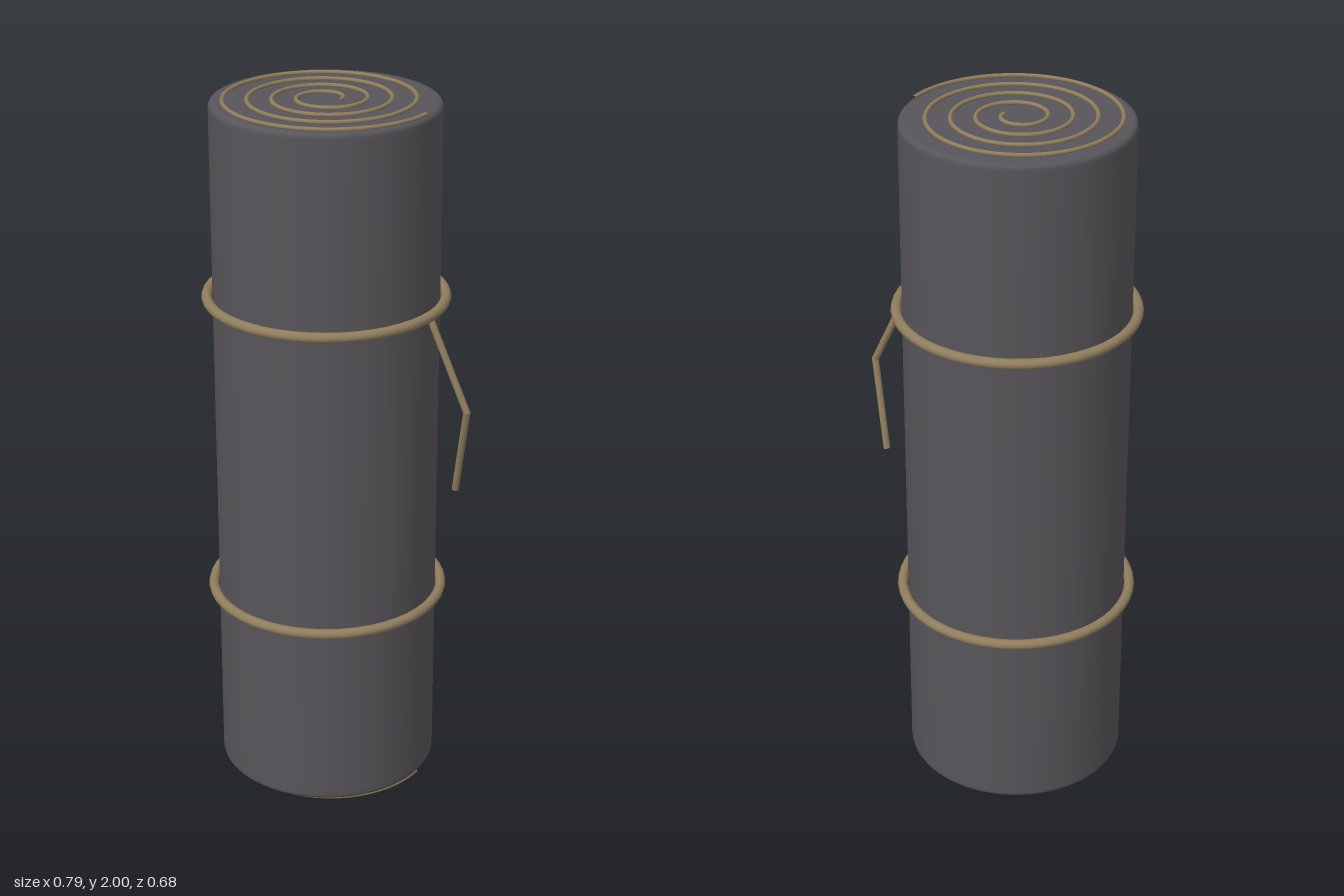
import * as THREE from 'three';

export function createModel() {
  const model = new THREE.Group();
  const fabric = new THREE.MeshStandardMaterial({ color: 0x58555a });
  fabric.name = 'dark grey fabric';
  const cord = new THREE.MeshStandardMaterial({ color: 0x8f7d5e });
  cord.name = 'tan cord';

  const CX = -0.053, R = 0.311, BOTTOM = 0.01, TOP = 1.99, BEVEL = 0.014;

  const add = (geometry, material, name) => {
    const mesh = new THREE.Mesh(geometry, material);
    mesh.name = name;
    model.add(mesh);
    return mesh;
  };

  // Rolled body: lathe with small rounded rims
  const profile = [new THREE.Vector2(0, BOTTOM)];
  const rim = (y, from) => {
    for (let i = 0; i <= 4; i++) {
      const a = from + (i / 4) * Math.PI / 2;
      profile.push(new THREE.Vector2(R - BEVEL + BEVEL * Math.cos(a), y + BEVEL * Math.sin(a)));
    }
  };
  profile.push(new THREE.Vector2(R - BEVEL - 0.004, BOTTOM));
  rim(BOTTOM + BEVEL, -Math.PI / 2);
  profile.push(new THREE.Vector2(R, BOTTOM + BEVEL + 0.01), new THREE.Vector2(R, TOP - BEVEL - 0.01));
  rim(TOP - BEVEL, 0);
  profile.push(new THREE.Vector2(R - BEVEL - 0.004, TOP), new THREE.Vector2(0, TOP));
  add(new THREE.LatheGeometry(profile, 64), fabric, 'rolledBody').position.x = CX;

  // Spiral seam on each end, four turns outward
  class Spiral extends THREE.Curve {
    getPoint(t, target = new THREE.Vector3()) {
      const a = t * 8 * Math.PI, r = 0.04 + 0.26 * t;
      return target.set(r * Math.cos(a), 0, -r * Math.sin(a));
    }
  }
  const spiral = new THREE.TubeGeometry(new Spiral(), 240, 0.006, 8);
  add(spiral, cord, 'topSpiral').position.set(CX, 1.994, 0);
  add(spiral, cord, 'bottomSpiral').position.set(CX, 0.006, 0);

  // Tie rings around the roll
  const ring = new THREE.TorusGeometry(0.327, 0.0145, 12, 48).rotateX(Math.PI / 2);
  add(ring, cord, 'upperTie').position.set(CX, 1.445, 0);
  add(ring, cord, 'lowerTie').position.set(CX, 0.563, 0);

  // Loose cord end hanging from the upper tie, in two straight lengths
  const strand = (a, b, name) => {
    const dir = b.clone().sub(a);
    const mesh = add(new THREE.CylinderGeometry(0.01, 0.01, dir.length(), 10), cord, name);
    mesh.position.copy(a).add(b).multiplyScalar(0.5);
    mesh.quaternion.setFromUnitVectors(new THREE.Vector3(0, 1, 0), dir.normalize());
  };
  const knot = new THREE.Vector3(0.268, 1.44, 0);
  const bend = new THREE.Vector3(0.386, 1.187, 0);
  const tip = new THREE.Vector3(0.335, 0.93, -0.042);
  strand(knot, bend, 'upperCordEnd');
  strand(bend, tip, 'lowerCordEnd');
  add(new THREE.SphereGeometry(0.01, 10, 8), cord, 'cordBend').position.copy(bend);

  return model;
}
